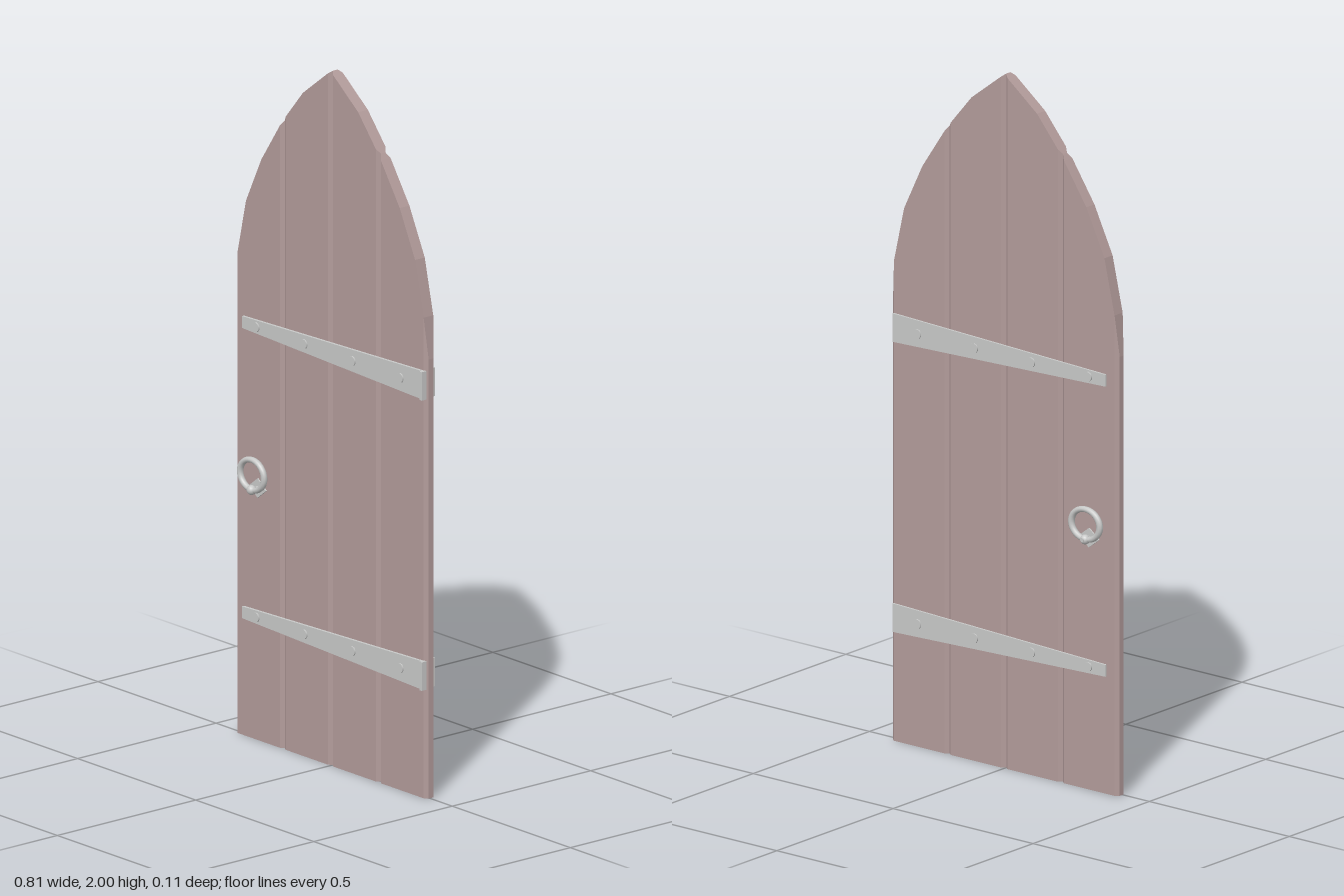
import * as THREE from 'three';

const wood = new THREE.MeshStandardMaterial({ color: 0xb29b9a });
wood.name = 'wood';
const iron = new THREE.MeshStandardMaterial({ color: 0xc8c9c8 });
iron.name = 'iron';

const FRONT = 0.013, BACK = -0.022;
const HALF_WIDTH = 0.405, BEVEL = 0.011;

// Right half of the pointed arch, from the tip down to the spring line
const ARCH = [[0, 2], [0.117, 1.91], [0.206, 1.805], [0.293, 1.676], [0.358, 1.542], [0.393, 1.395], [HALF_WIDTH, 1.265]];

function archHeight(x) {
  const a = Math.min(Math.abs(x), HALF_WIDTH);
  const i = Math.max(1, ARCH.findIndex(p => p[0] >= a - 1e-6));
  const [x0, y0] = ARCH[i - 1], [x1, y1] = ARCH[i];
  return y0 + (y1 - y0) * (a - x0) / (x1 - x0);
}

function add(parent, name, geometry, material, x = 0, y = 0, z = 0) {
  const mesh = new THREE.Mesh(geometry, material);
  mesh.name = name;
  mesh.position.set(x, y, z);
  parent.add(mesh);
  return mesh;
}

// Plank with bevelled long edges, its top cut along the arch
function plankGeometry(x0, x1) {
  const inner = ARCH.flatMap(p => [p[0], -p[0]]).filter(x => x > x0 + BEVEL + 0.001 && x < x1 - BEVEL - 0.001);
  const xs = [x0, x0 + BEVEL, ...inner.sort((a, b) => a - b), x1 - BEVEL, x1];
  const columns = xs.map((x, i) => {
    const inset = i === 0 || i === xs.length - 1 ? 0.009 : 0;
    const f = FRONT - inset, b = BACK + inset, h = archHeight(x);
    return [[x, 0, f], [x, h, f], [x, h, b], [x, 0, b]];
  });
  const pos = [];
  const quad = (a, b, c, d) => pos.push(...a, ...b, ...c, ...a, ...c, ...d);
  for (let i = 0; i + 1 < columns.length; i++) {
    const L = columns[i], R = columns[i + 1];
    for (let k = 0; k < 4; k++) quad(L[k], R[k], R[(k + 1) % 4], L[(k + 1) % 4]);
  }
  const S = columns[0], E = columns[columns.length - 1];
  quad(S[0], S[1], S[2], S[3]);
  quad(E[3], E[2], E[1], E[0]);
  const g = new THREE.BufferGeometry();
  g.setAttribute('position', new THREE.Float32BufferAttribute(pos, 3));
  g.computeVertexNormals();
  return g;
}

// Flat plate extruded outward from a door face
function plate(points, depth, side) {
  const shape = new THREE.Shape(points.map(p => new THREE.Vector2(...p)));
  const g = new THREE.ExtrudeGeometry(shape, { depth, bevelEnabled: false });
  return g.translate(0, 0, side > 0 ? FRONT : BACK - depth);
}

export function createModel() {
  const door = new THREE.Group();
  door.name = 'archedDoor';

  const planks = new THREE.Group();
  planks.name = 'planks';
  door.add(planks);
  const w = HALF_WIDTH / 2;
  for (let i = -2; i < 2; i++) add(planks, 'plank', plankGeometry(i * w, (i + 1) * w), wood);

  for (const side of [1, -1]) {
    const face = side > 0 ? FRONT : BACK;
    const prefix = side > 0 ? 'front' : 'back';

    // Tapered strap hinges with rivets
    for (const y of [0.356, 1.192]) {
      const strap = new THREE.Group();
      strap.name = prefix + 'Strap';
      strap.position.y = y;
      door.add(strap);
      const end = side > 0 ? 0.404 : 0.395;
      const depth = side > 0 ? 0.008 : 0.006;
      add(strap, 'strapPlate', plate([[-0.366, -0.017], [end, -0.041], [end, 0.041], [-0.366, 0.017]], depth, side), iron);
      for (const x of [-0.305, -0.102, 0.102, 0.305]) {
        const rivet = new THREE.CylinderGeometry(0.014, 0.014, depth + 0.004, 10);
        add(strap, 'rivet', rivet, iron, x, 0, face + side * (depth + 0.004) / 2).rotation.x = Math.PI / 2;
      }
      if (side > 0) add(strap, 'hingeEnd', new THREE.BoxGeometry(0.01, 0.082, 0.017), iron, 0.4, 0, FRONT + 0.0075);
    }

    // Ring pull hanging from a pin on a diamond plate
    const handle = new THREE.Group();
    handle.name = prefix + 'Handle';
    handle.position.set(-0.305, 0.727, 0);
    door.add(handle);
    const ringZ = side > 0 ? 0.036 : -0.0395;
    add(handle, 'diamondPlate', plate([[0, -0.028], [0.036, 0], [0, 0.028], [-0.036, 0]], 0.004, side), iron);
    const pin = new THREE.CylinderGeometry(0.006, 0.006, 0.034, 10);
    add(handle, 'pin', pin, iron, 0, 0, face + side * 0.017).rotation.x = Math.PI / 2;
    add(handle, 'pinHead', new THREE.SphereGeometry(0.014, 14, 10), iron, 0, -0.001, ringZ + side * 0.002);
    const ring = add(handle, 'ring', new THREE.TorusGeometry(0.0505, 0.0095, 10, 32), iron, 0, 0.042, ringZ);
    ring.scale.y = 0.86;
  }
  return door;
}
